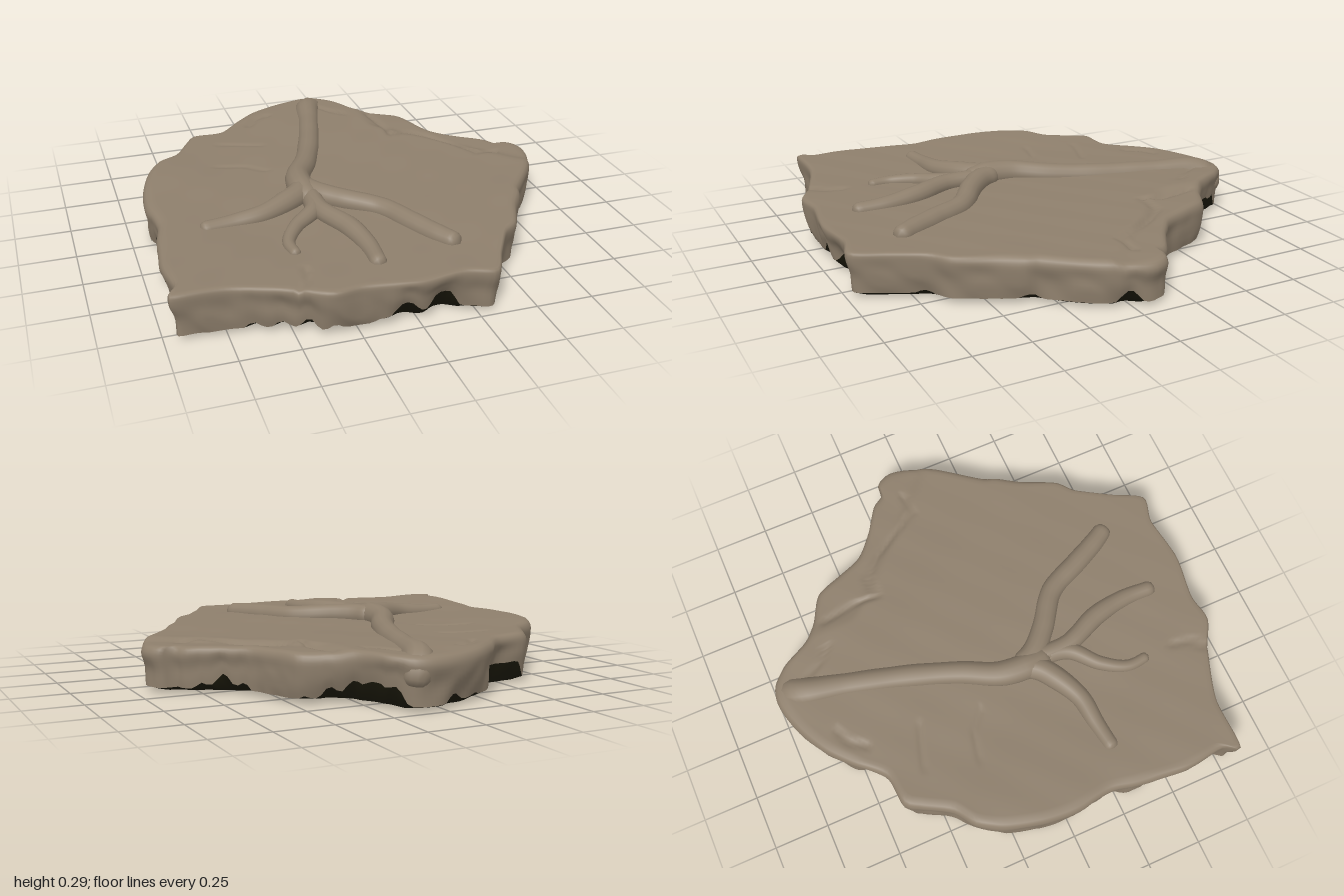
import * as THREE from 'three';
import { mergeVertices } from 'three/addons/utils/BufferGeometryUtils.js';

// Slab edge seen from above, clockwise from the front corner: x, z
const EDGE = [
  -0.97, 0.82, -0.94, 0.74, -0.965, 0.56, -0.945, 0.35, -0.92, 0.21, -0.94, 0.03, -0.925, -0.13,
  -0.88, -0.29, -0.815, -0.4, -0.72, -0.47, -0.645, -0.595, -0.595, -0.66, -0.455, -0.68,
  -0.35, -0.785, -0.235, -0.885, -0.105, -0.955, 0, -0.99, 0.08, -1, 0.15, -0.98, 0.22, -0.91,
  0.29, -0.78, 0.37, -0.71, 0.49, -0.64, 0.54, -0.525, 0.595, -0.395, 0.705, -0.3, 0.82, -0.225,
  0.86, -0.17, 0.925, -0.16, 0.96, -0.09, 0.945, 0, 0.895, 0.11, 0.84, 0.19, 0.74, 0.32,
  0.715, 0.38, 0.65, 0.48, 0.57, 0.635, 0.49, 0.705, 0.4, 0.85, 0.32, 0.99, 0.19, 0.965,
  -0.02, 0.99, -0.235, 0.96, -0.365, 0.975, -0.5, 0.905, -0.735, 0.825,
];

// Cracks in the top: depth, then x, z points
const CRACKS = [
  [0.014, 0.34, -0.66, 0.37, -0.5, 0.36, -0.39, 0.48, -0.39, 0.55, -0.32, 0.62, -0.2, 0.7, -0.07, 0.8, -0.07],
  [0.012, -0.48, 0.9, -0.43, 0.84, -0.41, 0.76],
  [0.012, -0.29, -0.7, -0.24, -0.77, -0.17, -0.8],
  [0.01, 0.12, -0.82, 0.16, -0.75, 0.22, -0.7],
  [0.006, -0.49, -0.51, -0.38, -0.48, -0.29, -0.45],
  [0.006, -0.55, -0.27, -0.42, -0.24, -0.34, -0.17],
];

const smooth = THREE.MathUtils.smoothstep;
const noise = (x, y, z) =>
  (Math.sin(x * 5.1 + y * 9 + z * 2.3 + 1.2) + Math.sin(z * 6.7 - x * 3.1 + y * 13 + 0.4) +
   0.6 * Math.sin(x * 13.3 - z * 9.7 + y * 21 + 2.6) + 0.4 * Math.sin(x * 21 + z * 25 + 5)) / 3;

function segmentDistance(x, z, ax, az, bx, bz) {
  const dx = bx - ax, dz = bz - az;
  const t = THREE.MathUtils.clamp(((x - ax) * dx + (z - az) * dz) / (dx * dx + dz * dz), 0, 1);
  return Math.hypot(x - ax - t * dx, z - az - t * dz);
}

// Height of the uneven top
function topHeight(x, z) {
  let y = 0.217 + 0.016 * smooth(-z, -0.3, 0.7) + 0.014 * smooth(-x, 0.4, 0.9) + 0.006 * noise(x, 0, z);
  y -= 0.016 * smooth(x - z, 0.79, 0.86) * smooth(x, 0.28, 0.36);
  for (const [depth, ...p] of CRACKS) {
    let d = 1;
    for (let i = 0; i + 3 < p.length; i += 2) d = Math.min(d, segmentDistance(x, z, p[i], p[i + 1], p[i + 2], p[i + 3]));
    y -= depth * Math.exp(-((d / 0.013) ** 2));
  }
  return y;
}

// Closed rings joined into a skin
function loft(rings) {
  const n = rings[0].length, pos = [], index = [];
  rings.forEach((ring) => ring.forEach((p) => pos.push(...p)));
  for (let i = 0; i < rings.length - 1; i++) {
    for (let j = 0; j < n; j++) {
      const a = i * n + j, b = i * n + (j + 1) % n;
      index.push(a, b, a + n, b, b + n, a + n);
    }
  }
  const g = new THREE.BufferGeometry();
  g.setAttribute('position', new THREE.Float32BufferAttribute(pos, 3));
  g.setIndex(index);
  g.computeVertexNormals();
  return g;
}

// Round limb through points [x, y, z, radius], with domed ends
function limb(points) {
  const n = 56, sides = 14;
  const curve = new THREE.CatmullRomCurve3(points.map((p) => new THREE.Vector3(p[0], p[1], p[2])));
  const g = new THREE.TubeGeometry(curve, n, 1, sides);
  const pos = g.attributes.position, v = new THREE.Vector3(), length = curve.getLength();
  for (let i = 0; i <= n; i++) {
    const c = curve.getPointAt(i / n);
    const t = curve.getUtoTmapping(i / n) * (points.length - 1);
    const k = Math.min(Math.floor(t), points.length - 2);
    let r = THREE.MathUtils.lerp(points[k][3], points[k + 1][3], t - k);
    const fromEnd = Math.min(i, n - i) / n * length;
    if (fromEnd < r) r *= Math.sqrt(1 - (1 - fromEnd / r) ** 2);
    r *= 1 + 0.05 * noise(c.x * 2, 0, c.z * 2);
    for (let j = 0; j <= sides; j++) {
      const id = i * (sides + 1) + j;
      v.fromBufferAttribute(pos, id).sub(c).multiplyScalar(r).add(c);
      pos.setXYZ(id, v.x, v.y, v.z);
    }
  }
  g.deleteAttribute('uv');
  g.deleteAttribute('normal');
  const merged = mergeVertices(g, 1e-5);
  merged.computeVertexNormals();
  return merged;
}

export function createModel() {
  const model = new THREE.Group();
  const stone = new THREE.MeshStandardMaterial({ color: 0x8e7f6c });
  stone.name = 'warm grey stone';
  const dark = new THREE.MeshStandardMaterial({ color: 0x1c1a0b });
  dark.name = 'dark underside';
  const add = (name, geometry, material) => {
    const mesh = new THREE.Mesh(geometry, material);
    mesh.name = name;
    model.add(mesh);
  };

  const corners = [];
  for (let i = 0; i < EDGE.length; i += 2) corners.push(new THREE.Vector3(EDGE[i], 0, EDGE[i + 1]));
  const edge = new THREE.CatmullRomCurve3(corners, true, 'catmullrom', 0.4).getSpacedPoints(280).slice(0, -1);

  // The rim is crisp at the front and worn round elsewhere
  const round = (p) => 0.012 + 0.03 * (1 - smooth(p.z, 0.4, 0.8));
  const ring = (f) => edge.map(f);

  // Top surface
  const topRings = [];
  for (let i = 0; i <= 46; i++) {
    topRings.push(ring((p) => {
      const s = (i / 46) * (1 - round(p));
      return [p.x * s, topHeight(p.x * s, p.z * s), p.z * s];
    }));
  }

  // Broken side wall, ending on a ragged lower edge
  const lowEdge = (p) => 0.03 + 0.085 * smooth(noise(p.x * 1.9 + 1, 0.3, p.z * 1.9), -0.1, 0.75);
  const rimY = (p) => topHeight(p.x * (1 - round(p)), p.z * (1 - round(p)));
  const wallPoint = (p, t) => {
    const r = round(p), y0 = rimY(p), y = THREE.MathUtils.lerp(y0, lowEdge(p), t);
    const worn = r * (1 - Math.sqrt(1 - (1 - Math.min(1, (y0 - y) / (r + 0.01))) ** 2));
    const dent = 0.022 * smooth(t, 0.1, 0.6) * (0.5 + noise(p.x * 2, y * 1.5, p.z * 2));
    const s = 1 - worn - Math.max(0, dent) - 0.02 * t * t;
    return [p.x * s, y, p.z * s];
  };
  const wallRings = [];
  for (let i = 0; i <= 12; i++) wallRings.push(ring((p) => wallPoint(p, (i / 12) ** 1.4)));
  add('slab', loft([...topRings, ...wallRings.slice(1)]), stone);

  // Chipped underside
  const underRings = [ring((p) => wallPoint(p, 1))];
  for (const s of [0.94, 0.85, 0.6, 0.3, 0]) {
    underRings.push(ring((p) => {
      const k = s === 0.94 ? s - 0.5 * (lowEdge(p) - 0.03) : s;
      return [p.x * k, 0.02 + 0.012 * noise(p.x * k, 0, p.z * k), p.z * k];
    }));
  }
  add('underside', loft(underRings), dark);

  // Raised root: a stem bent over the back edge and four spreading branches
  const limbs = {
    stem: [[0.12, 0.09, -0.93, 0.06], [0.105, 0.17, -0.925, 0.07], [0.07, 0.2, -0.87, 0.066], [0.02, 0.21, -0.68, 0.056],
      [-0.065, 0.215, -0.39, 0.053], [-0.145, 0.225, -0.18, 0.054], [-0.225, 0.236, -0.02, 0.057],
      [-0.24, 0.238, 0.11, 0.062], [-0.225, 0.225, 0.23, 0.05]],
    outerBranchRight: [[-0.23, 0.235, 0.06, 0.05], [-0.265, 0.236, 0.14, 0.057], [-0.34, 0.233, 0.2, 0.054],
      [-0.47, 0.222, 0.265, 0.045], [-0.6, 0.212, 0.28, 0.038], [-0.75, 0.212, 0.3, 0.033]],
    innerBranchRight: [[-0.22, 0.23, 0.18, 0.045], [-0.25, 0.232, 0.31, 0.04], [-0.36, 0.222, 0.42, 0.033],
      [-0.42, 0.214, 0.53, 0.028], [-0.415, 0.214, 0.64, 0.025]],
    innerBranchLeft: [[-0.22, 0.235, 0.16, 0.045], [-0.215, 0.235, 0.33, 0.042], [-0.145, 0.228, 0.5, 0.045],
      [-0.115, 0.217, 0.66, 0.041], [-0.12, 0.212, 0.82, 0.036]],
    outerBranchLeft: [[-0.23, 0.235, 0.06, 0.05], [-0.19, 0.236, 0.16, 0.054], [-0.1, 0.233, 0.25, 0.05],
      [0.055, 0.22, 0.37, 0.05], [0.135, 0.215, 0.53, 0.05], [0.2, 0.212, 0.66, 0.046], [0.255, 0.212, 0.75, 0.04]],
  };
  for (const [name, points] of Object.entries(limbs)) add(name, limb(points), stone);

  return model;
}
